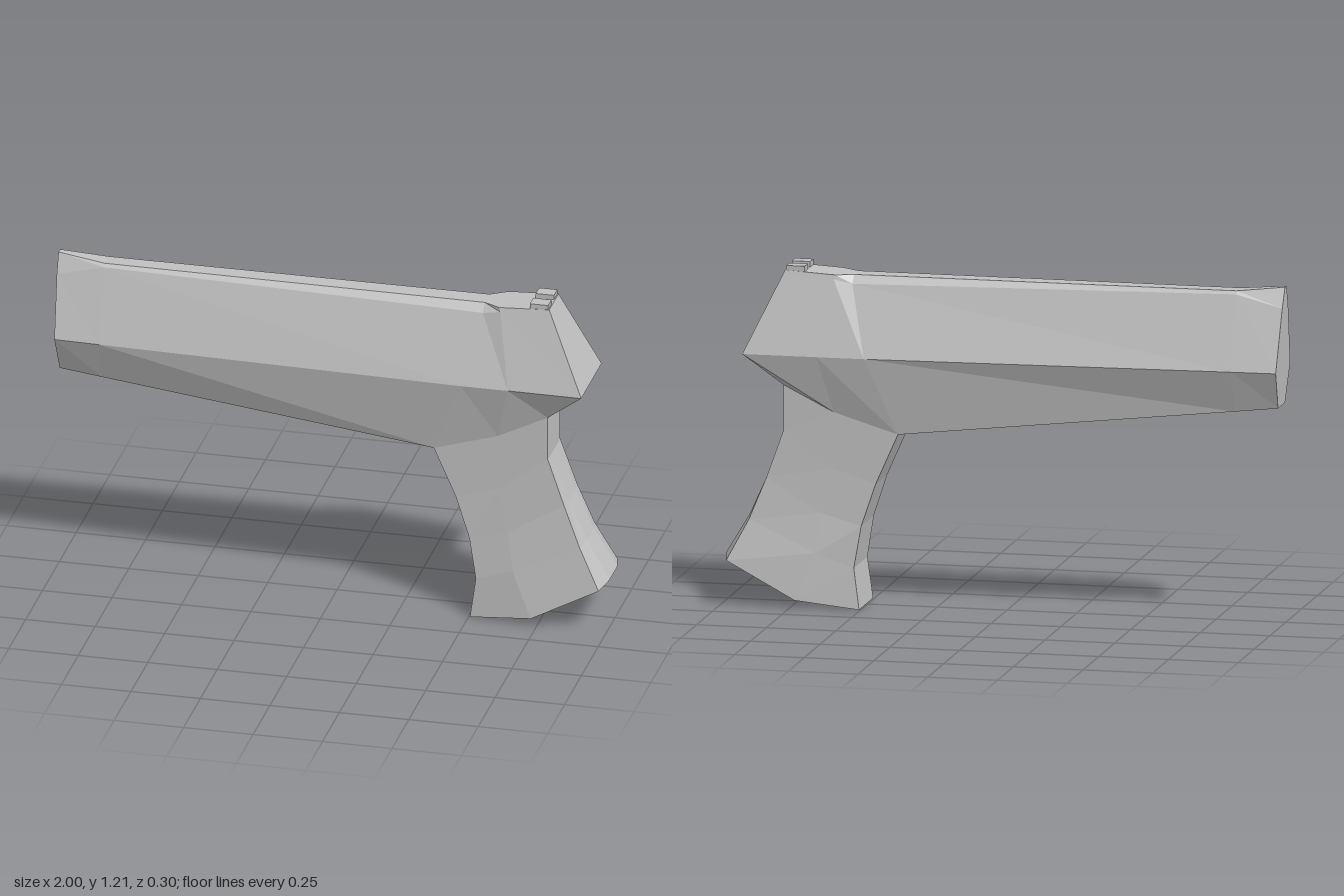
import * as THREE from 'three';

// Skin a row of mirrored cross-sections. Each section lists [x, y, halfWidth]
// for its +z side; the -z side is mirrored. Both ends are capped.
function loft(sections) {
  const rings = sections.map((s) => [
    ...s.map(([x, y, w]) => [x, y, w]),
    ...s.slice().reverse().map(([x, y, w]) => [x, y, -w]),
  ]);
  const pos = [];
  const quad = (a, b, c, d) => pos.push(...a, ...b, ...c, ...a, ...c, ...d);
  const n = rings[0].length;
  for (let r = 0; r < rings.length - 1; r++) {
    for (let i = 0; i < n; i++) {
      const j = (i + 1) % n;
      quad(rings[r][i], rings[r][j], rings[r + 1][j], rings[r + 1][i]);
    }
  }
  const first = rings[0], last = rings[rings.length - 1];
  for (let i = 0; i < n / 2 - 1; i++) {
    quad(first[i + 1], first[i], first[n - 1 - i], first[n - 2 - i]);
    quad(last[i], last[i + 1], last[n - 2 - i], last[n - 1 - i]);
  }
  const g = new THREE.BufferGeometry();
  g.setAttribute('position', new THREE.Float32BufferAttribute(pos, 3));
  g.computeVertexNormals();
  return g;
}

export function createModel() {
  const model = new THREE.Group();
  model.name = 'pistol';
  const grey = new THREE.MeshStandardMaterial({ color: 0xc0c0c0, flatShading: true });
  grey.name = 'plain grey';
  const add = (name, geometry) => {
    const mesh = new THREE.Mesh(geometry, grey);
    mesh.name = name;
    model.add(mesh);
    return mesh;
  };

  // Body, muzzle to back: top edge, top bevel, widest line, lower edge
  add('body', loft([
    [[-1, 1.2, 0.012], [-0.998, 1.13, 0.046], [-0.99, 0.91, 0.115], [-0.985, 0.775, 0.055]],
    [[-0.83, 1.183, 0.03], [-0.83, 1.172, 0.04], [-0.83, 0.91, 0.12], [-0.83, 0.758, 0.059]],
    [[0.54, 1.183, 0.036], [0.54, 1.155, 0.064], [0.48, 0.905, 0.15], [0.37, 0.63, 0.092]],
    [[0.6, 1.185, 0.07], [0.605, 1.17, 0.074], [0.65, 0.905, 0.15], [0.6, 0.7, 0.092]],
    [[0.78, 1.195, 0.07], [0.787, 1.18, 0.074], [0.915, 0.905, 0.152], [0.78, 0.79, 0.092]],
  ]));

  // Grip, base to top: front corner, side, back corner, back centre
  add('grip', loft([
    [[0.505, 0.003, 0.112], [0.73, 0.033, 0.142], [0.975, 0.165, 0.142], [0.995, 0.175, 0.06]],
    [[0.525, 0.15, 0.108], [0.66, 0.2, 0.122], [0.9, 0.31, 0.112], [0.912, 0.315, 0.05]],
    [[0.5, 0.3, 0.1], [0.64, 0.34, 0.102], [0.84, 0.46, 0.097], [0.845, 0.46, 0.045]],
    [[0.45, 0.45, 0.093], [0.6, 0.5, 0.094], [0.78, 0.63, 0.092], [0.782, 0.63, 0.045]],
    [[0.37, 0.63, 0.092], [0.6, 0.7, 0.092], [0.78, 0.79, 0.092], [0.78, 0.79, 0.045]],
  ]));

  // Rear sight: two blocks with a notch between
  for (const side of [-1, 1]) {
    add(side > 0 ? 'leftSight' : 'rightSight', new THREE.BoxGeometry(0.066, 0.03, 0.05))
      .position.set(0.743, 1.196, side * 0.044);
  }
  return model;
}
